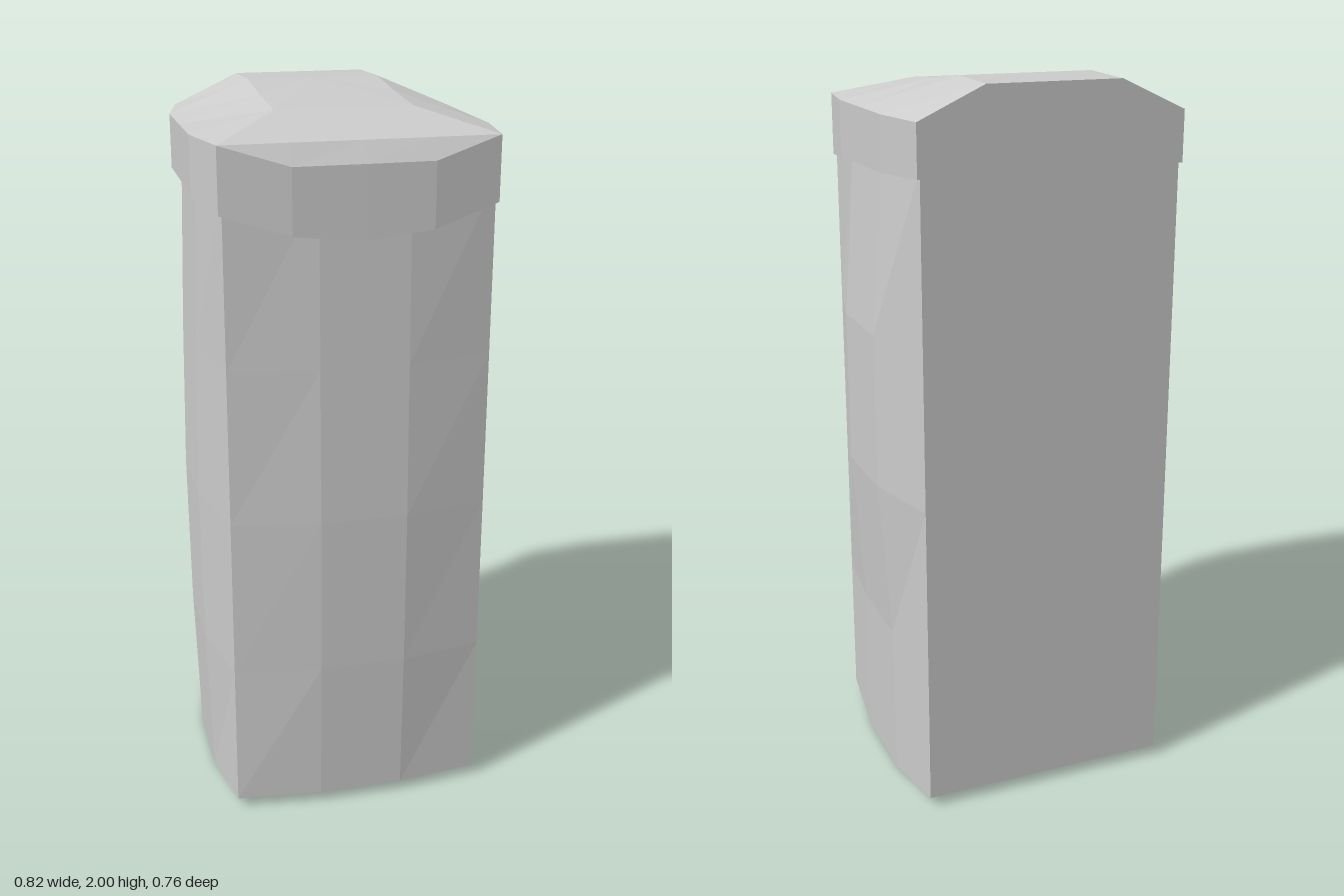
import * as THREE from 'three';

const stone = new THREE.MeshStandardMaterial({ color: 0xcccccc, flatShading: true });

// Skin stacked rings (front -> left side -> back -> right side), closed by fans at both ends
function loft(name, rings, bottom, top) {
  const pos = [];
  const tri = (a, b, c) => {
    const same = (p, q) => p.every((v, i) => Math.abs(v - q[i]) < 1e-6);
    if (!same(a, b) && !same(b, c) && !same(c, a)) pos.push(...a, ...b, ...c);
  };
  const n = rings[0].length;
  const last = rings[rings.length - 1];
  for (let i = 0; i < n; i++) {
    const j = (i + 1) % n;
    for (let k = 0; k < rings.length - 1; k++) {
      const lo = rings[k], hi = rings[k + 1];
      tri(lo[i], lo[j], hi[j]);
      tri(lo[i], hi[j], hi[i]);
    }
    tri(bottom, rings[0][j], rings[0][i]);
    tri(top, last[i], last[j]);
  }
  const geo = new THREE.BufferGeometry();
  geo.setAttribute('position', new THREE.Float32BufferAttribute(pos, 3));
  geo.computeVertexNormals();
  const mesh = new THREE.Mesh(geo, stone);
  mesh.name = name;
  return mesh;
}

// Shaft: fixed corners, with front and sides bulging by a different amount at each height
function makeShaft() {
  const levels = [ // height, front bulge, +x bulge, -x bulge
    [0.03, 0.365, 0.375, 0.39],
    [0.45, 0.378, 0.378, 0.405],
    [0.9, 0.381, 0.41, 0.41],
    [1.33, 0.374, 0.41, 0.402],
    [1.8, 0.365, 0.373, 0.388],
  ];
  const rings = levels.map(([y, f, r, l], k) => {
    const sag = k === 0 ? 0.0 : y; // the foot dips along the sides
    return [
      [-0.36, y, 0.338], [-0.12, y, f], [0.12, y, f], [0.352, y, 0.338],
      [r, sag, 0.1], [r, sag, -0.15], [0.352, y, -0.38],
      [-0.36, y, -0.38], [-l, sag, -0.15], [-l, sag, 0.1],
    ];
  });
  return loft('shaft', rings, [-0.05, 0.02, 0], [0, 1.8, 0]);
}

// Capstone: drooping front lip, bevelled brow and a shallow hipped top
function makeCap() {
  const outline = [
    [-0.37, 0.345], [-0.19, 0.375], [0, 0.377], [0.18, 0.375], [0.36, 0.345],
    [0.39, 0.16], [0.39, -0.02], [0.39, -0.2], [0.36, -0.383],
    [-0.37, -0.383], [-0.41, -0.2], [-0.41, -0.02], [-0.41, 0.16],
  ];
  const lipY = [1.74, 1.685, 1.665, 1.685, 1.74, 1.755, 1.762, 1.765, 1.775, 1.775, 1.765, 1.762, 1.755];
  const isFront = (i) => i >= 1 && i <= 3;
  const ridgeY = { 0.16: 1.965, '-0.02': 1.98, '-0.2': 2.0, '-0.383': 1.995 };

  const lip = outline.map(([x, z], i) => [x, lipY[i], z]);
  const brow = outline.map(([x, z], i) => [x, isFront(i) ? 1.858 : 1.912, z]);
  const eave = outline.map(([x, z], i) => [x, 1.912, isFront(i) ? 0.345 : z]);
  const ridge = outline.map(([x, z]) => {
    const rz = Math.min(z, 0.16);
    return [x === 0 ? 0 : x > 0 ? 0.18 : -0.19, ridgeY[rz], rz];
  });
  return loft('cap', [lip, brow, eave, ridge], [0, 1.765, 0], [0, 2.0, -0.2]);
}

export function createModel() {
  const group = new THREE.Group();
  group.name = 'stonePost';
  group.add(makeShaft(), makeCap());
  return group;
}
